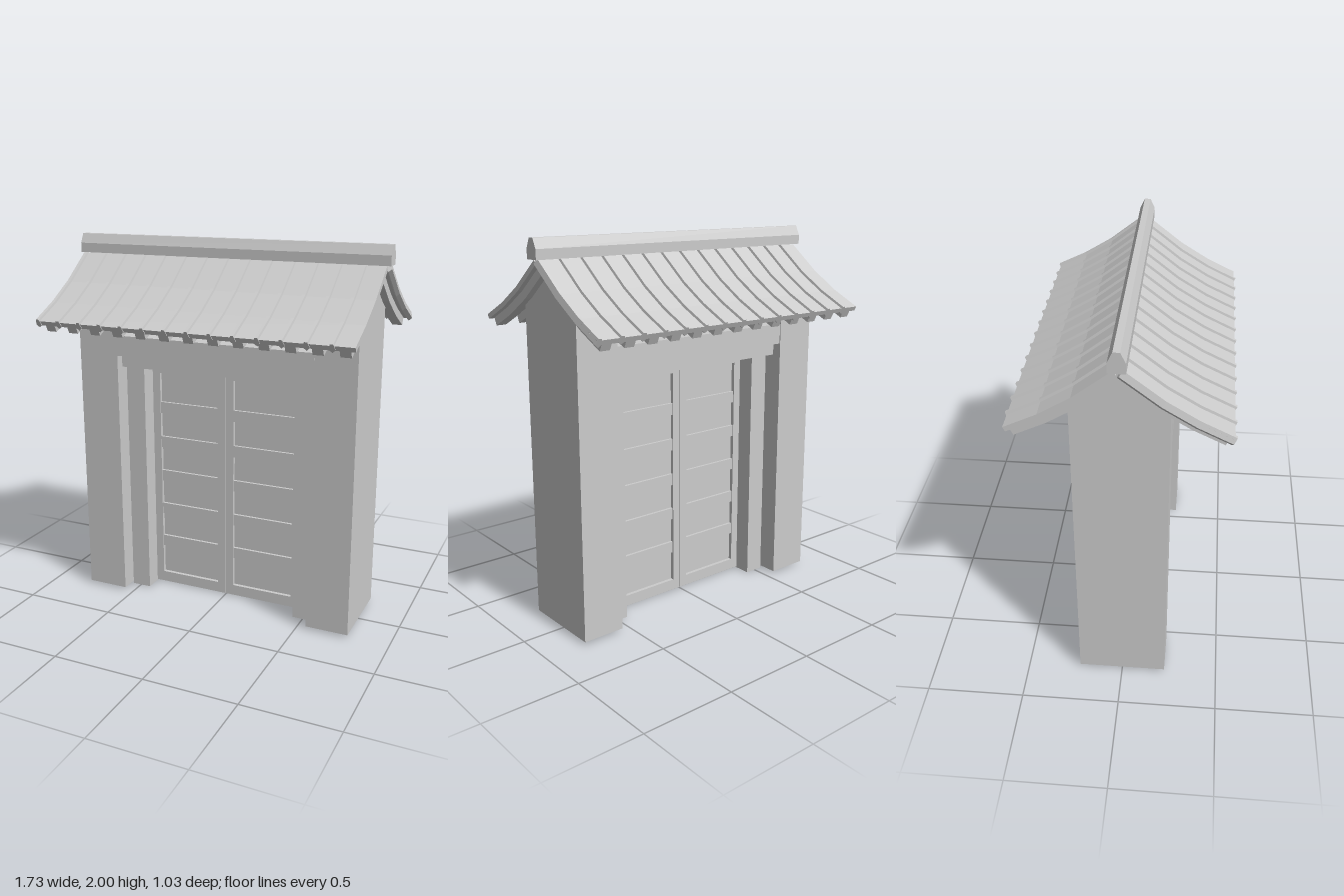
import * as THREE from 'three';

const material = new THREE.MeshStandardMaterial({ color: 0xcccccc, flatShading: true });

// Roof curve from ridge to eave: [z, y]
const SLOPE = [[0.02, 1.897], [0.1, 1.835], [0.2, 1.757], [0.35, 1.665], [0.505, 1.59]];

function add(parent, name, geometry) {
  const mesh = new THREE.Mesh(geometry, material);
  mesh.name = name;
  parent.add(mesh);
  return mesh;
}

// Box given by its limits
function block(parent, name, x0, x1, y0, y1, z0, z1) {
  const mesh = add(parent, name, new THREE.BoxGeometry(x1 - x0, y1 - y0, z1 - z0));
  mesh.position.set((x0 + x1) / 2, (y0 + y1) / 2, (z0 + z1) / 2);
  return mesh;
}

// Extrude an outline of [z, y] points from x0 to x1
function slab(parent, name, points, x0, x1) {
  const shape = new THREE.Shape(points.map(([z, y]) => new THREE.Vector2(z, y)));
  const g = new THREE.ExtrudeGeometry(shape, { depth: x1 - x0, bevelEnabled: false });
  g.rotateY(-Math.PI / 2).translate(x1, 0, 0);
  return add(parent, name, g);
}

// Wall with a roof-shaped top, half as deep as given on each side
function gableWall(parent, name, x0, x1, bottom, half) {
  const top = half > 0.2 ? [[half, 1.692], [0.2, 1.71], [0.1, 1.785]] : [[half, 1.78]];
  const right = [[half, bottom], ...top];
  const left = right.map(([z, y]) => [-z, y]).reverse();
  return slab(parent, name, [...right, [0, 1.85], ...left], x0, x1);
}

// Sweep a convex section of [x, height] points down the roof curve
function sweep(section, path) {
  const pos = [], index = [], n = section.length, last = path.length - 1;
  path.forEach(([z, y], i) => {
    const a = path[Math.max(i - 1, 0)], b = path[Math.min(i + 1, last)];
    const dz = b[0] - a[0], dy = b[1] - a[1], len = Math.hypot(dz, dy);
    for (const [x, h] of section) pos.push(x, y + h * dz / len, z - h * dy / len);
  });
  for (let i = 0; i < last; i++) {
    for (let j = 0; j < n; j++) {
      const a = i * n + j, b = i * n + (j + 1) % n;
      index.push(a, b, b + n, a, b + n, a + n);
    }
  }
  for (let j = 1; j < n - 1; j++) {
    index.push(0, j + 1, j, last * n, last * n + j, last * n + j + 1);
  }
  const g = new THREE.BufferGeometry();
  g.setAttribute('position', new THREE.Float32BufferAttribute(pos, 3));
  g.setIndex(index);
  g.computeVertexNormals();
  return g;
}

const rect = (x0, x1, h0, h1) => [[x0, h0], [x1, h0], [x1, h1], [x0, h1]];

function createRoofSlope(name) {
  const slope = new THREE.Group();
  slope.name = name;
  add(slope, 'tilePan', sweep(rect(-0.855, 0.842, -0.025, 0), SLOPE));

  // Raised tile joints
  const rib = sweep([[-0.016, -0.02], [0, -0.036], [0.016, -0.02], [0.008, 0.012], [-0.008, 0.012]],
    [...SLOPE.slice(0, -1), [0.508, 1.588]]);
  for (let i = 0; i < 14; i++) add(slope, 'tileRib', rib).position.x = -0.844 + i * 0.1213;

  // Rafters under the eave
  const rafter = sweep(rect(-0.027, 0.027, -0.068, -0.022), [...SLOPE.slice(0, -1), [0.495, 1.595]]);
  for (let i = 0; i < 13; i++) add(slope, 'rafter', rafter).position.x = (i - 6) * 0.1315;
  return slope;
}

function createDoor(name, side) {
  const door = new THREE.Group();
  door.name = name;
  const z0 = -0.02, z1 = 0.035;

  // Frame with a rectangular opening
  const x0 = 0.0015, x1 = 0.442;
  const shape = new THREE.Shape([[x0, 0.005], [x1, 0.005], [x1, 1.312], [x0, 1.312]]
    .map(p => new THREE.Vector2(...p)));
  shape.holes.push(new THREE.Path([[0.046, 0.065], [0.046, 1.26], [0.395, 1.26], [0.395, 0.065]]
    .map(p => new THREE.Vector2(...p))));
  const g = new THREE.ExtrudeGeometry(shape, { depth: z1 - z0, bevelEnabled: false });
  add(door, 'doorFrame', g).position.z = z0;

  // Recessed board and its cross rails
  block(door, 'doorBoard', 0.046, 0.395, 0.065, 1.26, z0 + 0.02, z1 - 0.02);
  for (let i = 0; i < 5; i++) {
    const y = 0.23 + i * 0.2;
    block(door, 'doorRail', 0.046, 0.395, y, y + 0.064, z0 + 0.005, z1 - 0.005);
  }
  if (side < 0) door.position.x = -0.4435; // the leaf is shifted, then its stiles line up
  return door;
}

export function createModel() {
  const gate = new THREE.Group();
  gate.name = 'roofedGate';

  // Side walls and door jambs
  for (const [label, s] of [['left', 1], ['right', -1]]) {
    const span = (a, b) => (s > 0 ? [a, b] : [-b, -a]);
    gableWall(gate, label + 'Wall', ...span(0.55, 0.78), 0.015, 0.225);
    block(gate, label + 'Jamb', ...span(0.442, 0.55), 0, 1.312, -0.115, 0.13);
    gate.add(createDoor(label + 'Door', s));
  }

  // Beams over the doors and the infill up to the roof
  block(gate, 'header', -0.548, 0.548, 1.312, 1.38, -0.175, 0.18);
  block(gate, 'lintel', -0.556, 0.558, 1.38, 1.49, -0.22, 0.226);
  gableWall(gate, 'upperPanel', -0.535, 0.55, 1.49, 0.11);

  // Roof slopes, the back one turned half round
  gate.add(createRoofSlope('frontRoof'));
  const back = createRoofSlope('backRoof');
  back.rotation.y = Math.PI;
  gate.add(back);

  // Ridge cap
  slab(gate, 'ridge', [[-0.04, 1.9], [0.04, 1.9], [0.04, 1.95], [0.016, 2], [-0.016, 2], [-0.04, 1.95]],
    -0.868, 0.866);
  return gate;
}
